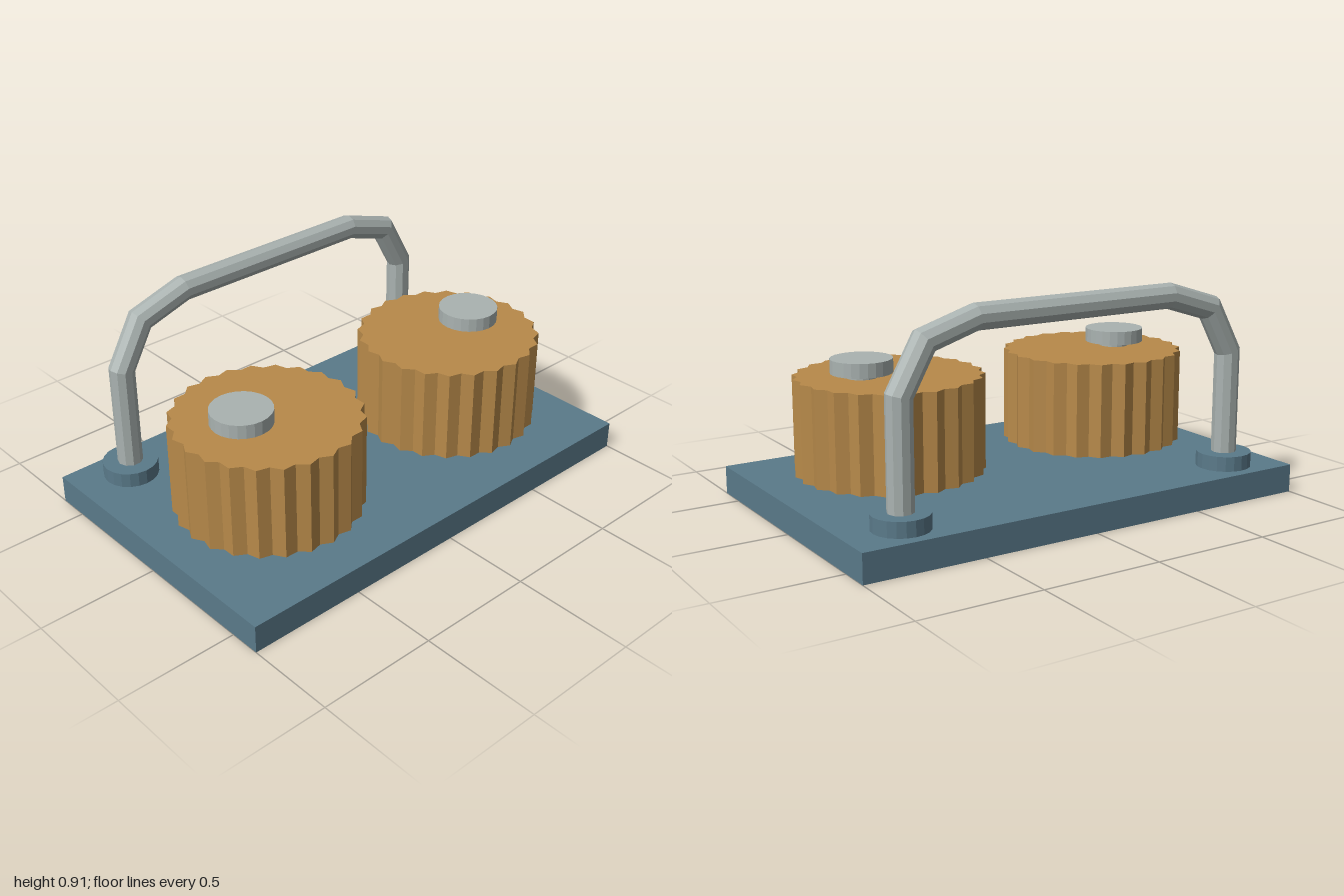
import * as THREE from 'three';

const paint = (name, color) => {
  const m = new THREE.MeshStandardMaterial({ color, flatShading: true });
  m.name = name;
  return m;
};

// Round bar with mitred corners along points in the XY plane, capped at both ends
function barGeometry(points, radius, sides) {
  const pos = [], index = [], last = points.length - 1;
  points.forEach((p, i) => {
    const a = points[Math.max(i - 1, 0)], b = points[Math.min(i + 1, last)];
    const before = (i > 0 ? p.clone().sub(a) : b.clone().sub(p)).normalize();
    const after = (i < last ? b.clone().sub(p) : before.clone()).normalize();
    const t = before.clone().add(after).normalize();
    const n = new THREE.Vector2(-t.y, t.x).multiplyScalar(radius / t.dot(before));
    for (let k = 0; k < sides; k++) {
      const ang = (k / sides) * Math.PI * 2, c = Math.cos(ang);
      pos.push(p.x + n.x * c, p.y + n.y * c, radius * Math.sin(ang));
    }
  });
  for (let i = 0; i < last; i++) {
    for (let k = 0; k < sides; k++) {
      const a = i * sides + k, b = i * sides + (k + 1) % sides;
      index.push(a, b, a + sides, b, b + sides, a + sides);
    }
  }
  for (let k = 1; k < sides - 1; k++) {
    const e = last * sides;
    index.push(0, k + 1, k, e, e + k, e + k + 1);
  }
  const g = new THREE.BufferGeometry();
  g.setAttribute('position', new THREE.Float32BufferAttribute(pos, 3));
  g.setIndex(index);
  g.computeVertexNormals();
  return g;
}

// Upright gear with pointed teeth, standing on y = 0
function gearGeometry(teeth, tip, valley, height) {
  const outline = [];
  for (let i = 0; i < teeth * 2; i++) {
    const a = (i / teeth) * Math.PI, r = i % 2 ? valley : tip;
    outline.push(new THREE.Vector2(Math.cos(a) * r, Math.sin(a) * r));
  }
  const g = new THREE.ExtrudeGeometry(new THREE.Shape(outline), { depth: height, bevelEnabled: false });
  return g.rotateX(-Math.PI / 2);
}

export function createModel() {
  const model = new THREE.Group();
  model.name = 'gearPump';
  const blue = paint('blueGrey', 0x5a7a8a);
  const steel = paint('steel', 0xaab3b1);
  const brass = paint('brass', 0xb88a4a);

  const add = (name, geometry, material, x, y, z) => {
    const mesh = new THREE.Mesh(geometry, material);
    mesh.name = name;
    mesh.position.set(x, y, z);
    model.add(mesh);
  };
  // Cylinder between two heights
  const disc = (name, r, y0, y1, material, x, z, sides) =>
    add(name, new THREE.CylinderGeometry(r, r, y1 - y0, sides), material, x, (y0 + y1) / 2, z);

  add('basePlate', new THREE.BoxGeometry(2, 0.117, 1.26), blue, 0, 0.0585, 0);

  for (const [side, s] of [['left', 1], ['right', -1]]) {
    // Gear on an off-centre pin
    add(side + 'Gear', gearGeometry(24, 0.385, 0.362, 0.395), brass, s * 0.5, 0.155, 0.105);
    disc(side + 'Pin', 0.0625, 0.11, 0.58, steel, s * 0.62, 0.105, 16);
    disc(side + 'PinCap', 0.125, 0.57, 0.628, steel, s * 0.62, 0.105, 24);
    // Handle socket
    disc(side + 'Collar', 0.114, 0.11, 0.179, blue, s * 0.765, -0.473, 20);
  }

  // Carrying handle
  const half = [[0.765, 0.12], [0.765, 0.605], [0.66, 0.793], [0.447, 0.859]];
  const path = [...half.map(([x, y]) => [-x, y]), ...half.slice().reverse()]
    .map(([x, y]) => new THREE.Vector2(x, y));
  add('handle', barGeometry(path, 0.052, 10), steel, 0, 0, -0.473);

  return model;
}
